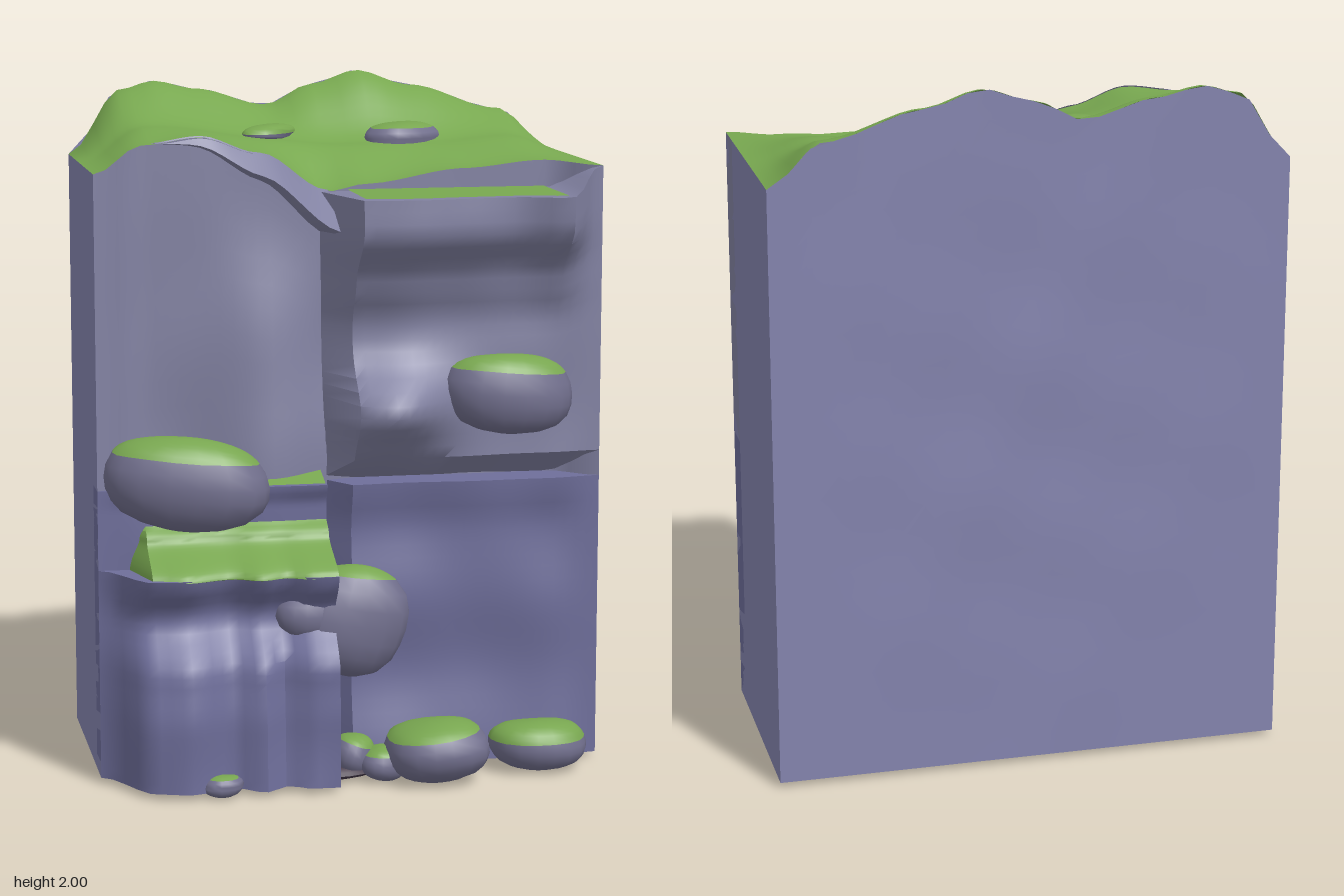
import * as THREE from 'three';
import { toCreasedNormals } from 'three/addons/utils/BufferGeometryUtils.js';

const mat = (color) => new THREE.MeshStandardMaterial({ color, side: THREE.DoubleSide });
const rock = mat(0x8282a2), sideRock = mat(0x8484ae), lowRock = mat(0x6e6e9a), grass = mat(0x78a850);
const moss = mat(0x78a650), stone = mat(0x72708e), base = mat(0x463a4a);
const W = 0.735, BACK = -0.468, FLOOR = 0.02, FLARE = 0.075;

// Smoothed interpolation through [position, value] pairs
function along(points, t) {
  if (t <= points[0][0]) return points[0][1];
  for (let i = 1; i < points.length; i++) {
    const [a, p] = points[i - 1], [b, q] = points[i];
    if (t <= b) return p + (q - p) * THREE.MathUtils.smoothstep(t, a, b);
  }
  return points[points.length - 1][1];
}
const lerp = THREE.MathUtils.lerp;
const bump = (x, y) =>
  Math.sin(x * 11 + y * 4) * 0.5 + Math.sin(y * 13 - x * 6 + 1.3) * 0.3 + Math.sin(x * 19 + y * 9) * 0.2;

// Grid surface; its front faces the direction u cross v
function sheet(nu, nv, fn) {
  const pos = [], index = [];
  for (let j = 0; j <= nv; j++) for (let i = 0; i <= nu; i++) pos.push(...fn(i / nu, j / nv));
  for (let j = 0; j < nv; j++) for (let i = 0; i < nu; i++) {
    const a = j * (nu + 1) + i, c = a + nu + 1;
    index.push(a, a + 1, c + 1, a, c + 1, c);
  }
  const g = new THREE.BufferGeometry();
  g.setAttribute('position', new THREE.Float32BufferAttribute(pos, 3));
  g.setIndex(index);
  return g;
}

// Ground height: back ridge, middle and front lip blended along z
const ridge = [[-W, 1.76], [-0.58, 1.95], [-0.48, 1.975], [-0.35, 1.95], [-0.14, 1.9], [0, 1.96], [0.14, 2], [0.3, 1.955], [0.58, 1.88], [W, 1.76]];
const middle = [[-W, 1.76], [-0.55, 1.86], [-0.16, 1.82], [0.22, 1.8], [0.55, 1.82], [W, 1.76]];
const lip = [[-W, 1.76], [-0.58, 1.83], [-0.42, 1.85], [-0.25, 1.8], [-0.05, 1.69], [0.06, 1.71], [0.35, 1.75], [0.58, 1.77], [W, 1.76]];
const frontZ = (x) => along([[0.6, 0.09], [W, 0.19]], Math.abs(x));
function ground(x, z) {
  const t = (z - BACK) / (frontZ(x) - BACK);
  return along([[0, along(ridge, x)], [0.5, along(middle, x)], [1, along(lip, x)]], t);
}

export function createModel() {
  const model = new THREE.Group();
  function add(parent, name, geometry, material, crease = 0.8) {
    const mesh = new THREE.Mesh(toCreasedNormals(geometry, crease), material);
    mesh.name = name;
    parent.add(mesh);
  }

  // Main block
  const block = new THREE.Group();
  block.name = 'cliffBlock';
  model.add(block);
  add(block, 'grassTop', sheet(40, 20, (u, v) => {
    const x = lerp(-W, W, u), z = lerp(frontZ(x), BACK, v);
    return [x, ground(x, z) + Math.sin(Math.PI * u) * Math.sin(Math.PI * v) * 0.012 * bump(x, z), z];
  }), grass);
  add(block, 'frontWall', sheet(40, 24, (u, v) => {
    const x = lerp(-W, W, u), y = lerp(FLOOR, ground(x, frontZ(x)), v);
    const inner = Math.sin(Math.PI * u) * Math.sin(Math.PI * v);
    const spur = 0.07 * Math.exp(-(((x + 0.24) / 0.16) ** 2)) * THREE.MathUtils.smoothstep(1.75 - y, 0, 0.8);
    return [x, y, frontZ(x) + spur + inner * 0.02 * bump(x, y)];
  }), rock);
  add(block, 'backWall', sheet(24, 24, (u, v) => {
    const x = lerp(W, -W, u), y = lerp(FLOOR, ground(x, BACK), v);
    return [x, y, BACK + Math.sin(Math.PI * u) * Math.sin(Math.PI * v) * 0.012 * bump(x, y)];
  }), sideRock);
  for (const s of [-1, 1]) add(block, s > 0 ? 'leftWall' : 'rightWall', sheet(1, 1, (u, v) =>
    [s * W, lerp(FLOOR, 1.76, v), s > 0 ? lerp(0.19, BACK, u) : lerp(BACK, 0.19, u)]), sideRock);
  add(block, 'underside', sheet(40, 1, (u, v) => {
    const x = lerp(-W, W, u);
    return [x, FLOOR, lerp(BACK, frontZ(x), v)];
  }), base);

  // Bare rock tongue spilling over the front rim, folding back to the wall
  add(block, 'rockTongue', sheet(18, 12, (u, v) => {
    const x = lerp(-0.56, -0.05, u), reach = 0.19 * u * u, y = along(lip, x);
    const out = along([[0, 0], [0.6, 1], [1, 0]], v);
    const drop = along([[0, 0], [0.6, 0.1], [1, 0.13]], v);
    return [x, y + 0.004 - drop * u, lerp(0.085, 0.09 + reach, out)];
  }).scale(1, 1, 1), rock);

  // Rock slab: depth(x, y) is faded by an outline across x; the outermost rows
  // and columns fold back into the block, flaring to the right and downwards
  function slab(name, x0, x1, y0, topAt, depth, outline, material, rough = 0.02) {
    const n = 24, clamp = (t) => THREE.MathUtils.clamp((t * n - 1) / (n - 2), 0, 1);
    add(model, name, sheet(n, n, (u, v) => {
      const x = lerp(x0, x1, clamp(u)), y = lerp(y0, topAt(x), clamp(v));
      const k = along(outline, x);
      if (u === 0 || u === 1 || v === 0 || v === 1) return [
        u === 0 ? Math.max(-W, x0 - FLARE) : x, v === 0 ? Math.max(FLOOR, y0 - FLARE) : y, 0.09];
      return [x, y, lerp(0.19, depth(x, y), k) + k * rough * bump(x, y)];
    }), material);
  }
  const rightOutline = [[0, 0.93], [0.15, 1], [0.3, 0.9], [0.45, 0.85], [0.585, 1], [W, 0]];
  const leftOutline = [[-W, 0], [-0.6, 0.9], [-0.5, 1], [-0.37, 0.8], [-0.29, 1.05], [-0.22, 0.85], [-0.15, 1.05], [-0.075, 1.05]];
  const mossOutline = [[-0.6, 0.85], [-0.5, 1], [-0.37, 0.85], [-0.29, 1.05], [-0.22, 0.9], [-0.15, 1.05]];

  // Overhanging upper slab with its grassy shelf
  slab('upperSlab', 0, W, 0.93, (x) => along([[0.585, 1.69], [W, 1.76]], x),
    (x, y) => along([[0.93, 0.21], [1.32, 0.21], [1.45, 0.26], [1.6, 0.385], [1.69, 0.385]], y)
      + 0.17 * Math.exp(-(((x - 0.08) / 0.17) ** 2) - ((y - 1.08) / 0.11) ** 2), rightOutline, rock);
  add(model, 'upperShelf', sheet(16, 4, (u, v) => {
    const x = lerp(0.005, 0.585, u);
    return [x, 1.695, lerp(lerp(0.19, 0.385, along(rightOutline, x)), 0.08, v)];
  }), grass);

  // Lower slabs and the mossy slope on the left
  slab('lowerRightSlab', 0, W, FLOOR, () => 0.855,
    (x, y) => along([[0, 0.22], [0.3, 0.18], [0.5, 0.2], [0.72, 0.18], [0.855, 0.21]], y), rightOutline, lowRock, 0.012);
  slab('lowerLeftSlab', -W, -0.075, FLOOR, () => 0.63,
    (x, y) => along([[0, 0.41], [0.2, 0.41], [0.35, 0.39], [0.5, 0.3], [0.63, 0.38]], y), leftOutline, lowRock);
  slab('mossyLedge', -0.6, -0.075, 0.625, () => 0.77,
    (x, y) => along([[0.625, 0.38], [0.72, 0.23], [0.77, 0.18]], y), mossOutline, moss, 0.008);
  slab('upperLedge', -W, -0.075, 0.6, () => 0.86,
    (x, y) => along([[0.6, 0.19], [0.8, 0.19], [0.86, 0.21]], y), leftOutline, lowRock, 0.01);
  add(model, 'ledgeMoss', sheet(12, 2, (u, v) =>
    [lerp(-0.5, -0.08, u), 0.863 + 0.035 * v, lerp(0.205, 0.09, v)]), moss);

  // Boulder: lumpy ellipsoid, split into a stone body and a mossy cap
  function boulder(name, [x, y, z], [rx, ry, rz], { cap = 0.32, tilt = 0, turn = 0, seed = 0, body = stone } = {}) {
    const group = new THREE.Group();
    group.name = name;
    group.position.set(x, y, z);
    group.rotation.set(0, turn, tilt);
    const piece = (part, start, length, material) => {
      const g = new THREE.SphereGeometry(1, 18, 8, 0, Math.PI * 2, start, length);
      const p = g.attributes.position, d = new THREE.Vector3();
      for (let i = 0; i < p.count; i++) {
        d.fromBufferAttribute(p, i);
        const q = 1 + 0.05 * Math.sin(d.x * 3 + seed) * Math.cos(d.z * 3 - seed) + 0.03 * Math.sin(d.y * 3 + d.x * 2 + seed);
        const box = Math.pow(d.x ** 4 + d.y ** 4 + d.z ** 4, -0.25);
        d.multiplyScalar(q * lerp(1, box, 0.25));
        p.setXYZ(i, d.x * rx, d.y * ry, d.z * rz);
      }
      add(group, part, g, material, 1);
    };
    if (cap) piece('mossCap', 0, Math.PI * cap, moss);
    piece('stoneBody', Math.PI * cap, Math.PI * (1 - cap), body);
    model.add(group);
  }
  boulder('ledgeBoulder', [-0.487, 0.88, 0.22], [0.245, 0.135, 0.12], { tilt: -0.08, turn: -0.15, seed: 1 });
  boulder('slabBoulder', [0.45, 1.115, 0.235], [0.19, 0.12, 0.1], { tilt: -0.06, seed: 2 });
  boulder('middleBoulder', [-0.02, 0.47, 0.24], [0.18, 0.155, 0.11], { cap: 0.2, tilt: -0.2, seed: 4 });
  boulder('chockStone', [-0.14, 0.5, 0.28], [0.1, 0.075, 0.06], { cap: 0, seed: 3 });
  boulder('topStoneLeft', [-0.16, 1.832, -0.265], [0.11, 0.025, 0.06], { cap: 0.5, turn: 0.85, seed: 5 });
  boulder('topStoneRight', [0.235, 1.808, -0.25], [0.125, 0.052, 0.085], { cap: 0.28, turn: 0.4, seed: 6 });

  // Rubble along the foot
  boulder('footBoulder', [0.22, 0.095, 0.335], [0.155, 0.09, 0.135], { tilt: 0.12, seed: 7 });
  boulder('footBoulderSide', [0.54, 0.08, 0.275], [0.145, 0.075, 0.1], { cap: 0.42, seed: 8 });
  boulder('footStoneA', [-0.01, 0.075, 0.26], [0.06, 0.06, 0.07], { tilt: -0.3, seed: 9 });
  boulder('footStoneB', [0.07, 0.055, 0.3], [0.07, 0.05, 0.07], { seed: 10 });
  boulder('footStoneC', [-0.41, 0.035, 0.38], [0.06, 0.03, 0.05], { cap: 0.25, seed: 11 });
  boulder('footStoneD', [-0.06, 0.028, 0.2], [0.14, 0.025, 0.14], { cap: 0, body: base, seed: 12 });

  return model;
}
